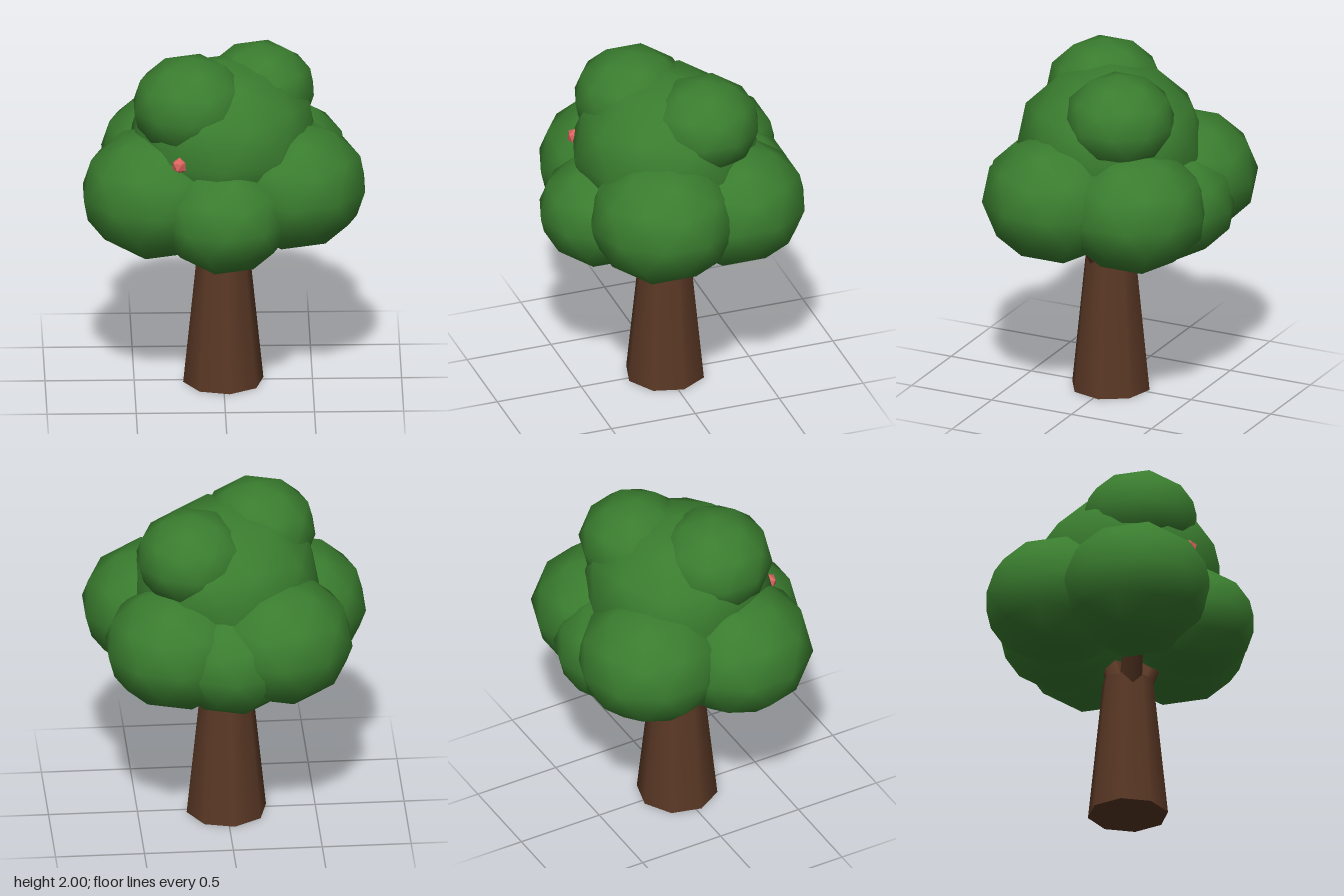
import * as THREE from 'three';

export function createModel() {
  const tree = new THREE.Group();
  tree.name = 'tree';
  const leafGreen = new THREE.MeshStandardMaterial({ name: 'leafGreen', color: 0x3a7d2f });
  const barkBrown = new THREE.MeshStandardMaterial({ name: 'barkBrown', color: 0x5a3825 });
  const fruitRed = new THREE.MeshStandardMaterial({ name: 'fruitRed', color: 0xd9635f });

  const add = (name, geometry, material, x, y, z) => {
    const mesh = new THREE.Mesh(geometry, material);
    mesh.name = name;
    mesh.position.set(x, y, z);
    tree.add(mesh);
    return mesh;
  };

  // Icosphere turned so that one corner points straight up
  const poleUp = (detail) => new THREE.IcosahedronGeometry(1, detail)
    .rotateX(-Math.atan2((1 + Math.sqrt(5)) / 2, 1))
    .rotateY(Math.PI / 2);

  // Tapered eight-sided trunk
  const trunk = add('trunk', new THREE.CylinderGeometry(0.144, 0.228, 0.82, 8), barkBrown, 0, 0.41, 0);
  trunk.rotation.y = 0.14;

  // Branches rising from the trunk into the foliage
  const up = new THREE.Vector3(0, 1, 0);
  const branch = (name, from, to) => {
    const a = new THREE.Vector3(...from);
    const b = new THREE.Vector3(...to);
    const dir = b.clone().sub(a);
    const mid = a.clone().add(b).multiplyScalar(0.5);
    const mesh = add(name, new THREE.CylinderGeometry(0.05, 0.07, dir.length(), 6), barkBrown, mid.x, mid.y, mid.z);
    mesh.quaternion.setFromUnitVectors(up, dir.normalize());
  };
  branch('branchRight', [-0.03, 0.72, 0.02], [-0.28, 1.15, 0.14]);
  branch('branchLeft', [0.03, 0.72, 0.02], [0.28, 1.15, 0.12]);
  branch('branchBack', [0.02, 0.72, -0.03], [0.14, 1.2, -0.2]);

  // Foliage clumps: name, x, y, z, radius (slightly flattened)
  const clumpGeometry = poleUp(1);
  const clumps = [
    ['foliageCentre', 0, 1.465, 0, 0.54],
    ['foliageFrontRight', -0.375, 1.205, 0.17, 0.435],
    ['foliageFrontLeft', 0.385, 1.24, 0.15, 0.425],
    ['foliageBackRight', -0.27, 1.245, -0.32, 0.425],
    ['foliageBackLeft', 0.3, 1.215, -0.3, 0.415],
    ['foliageFront', 0, 1.13, 0.37, 0.37],
    ['foliageBack', 0, 1.17, -0.37, 0.375],
    ['foliageTopFront', -0.185, 1.71, 0.13, 0.335],
    ['foliageTopBack', 0.205, 1.69, -0.155, 0.32],
  ];
  for (const [name, x, y, z, r] of clumps) {
    add(name, clumpGeometry, leafGreen, x, y, z).scale.set(r, r * 0.86, r);
  }

  // Single small fruit
  add('fruit', poleUp(0), fruitRed, -0.255, 1.475, 0.445).scale.setScalar(0.048);

  return tree;
}
